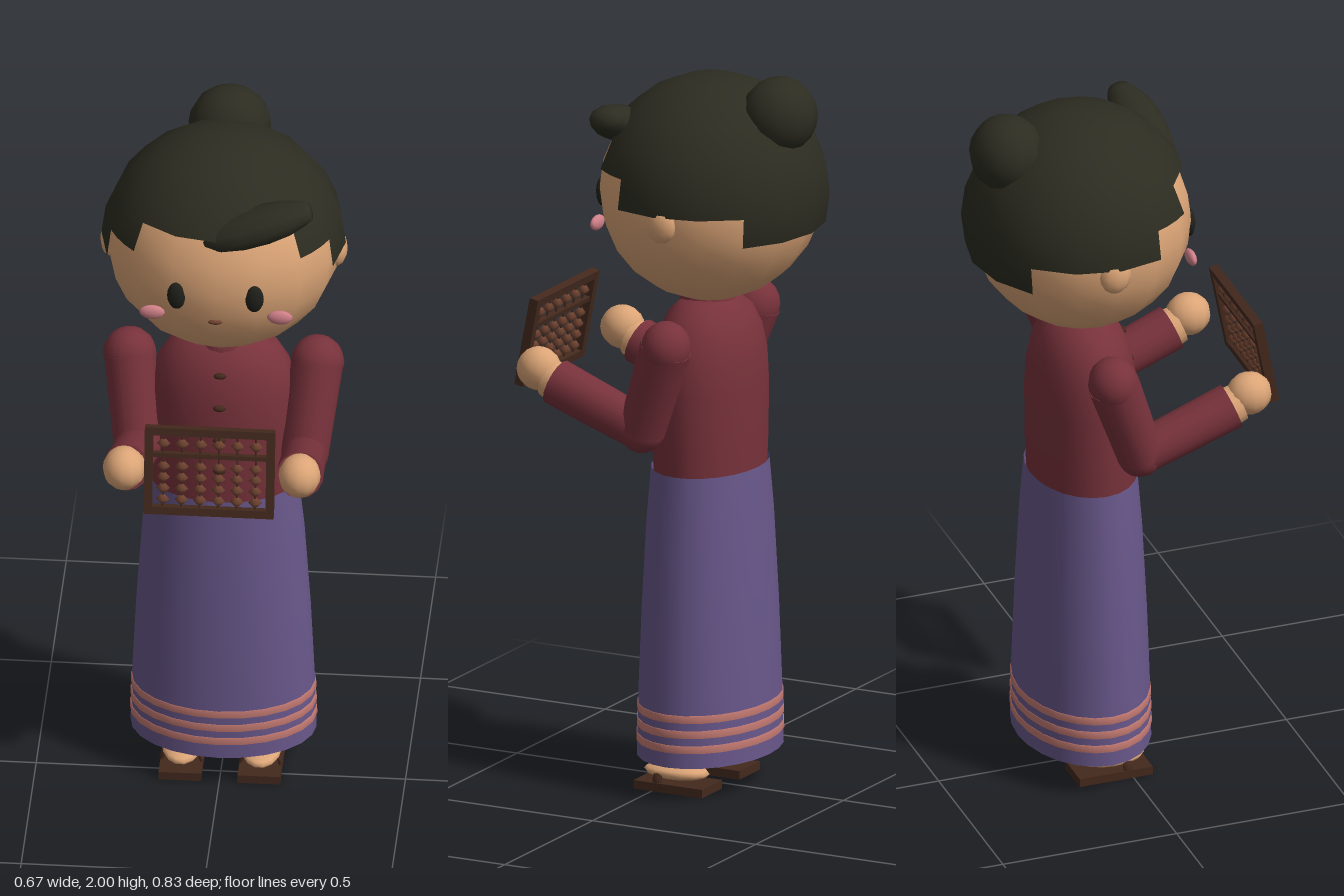
import * as THREE from 'three';

const mat = (name, color, side = THREE.FrontSide) => {
  const m = new THREE.MeshStandardMaterial({ color, side });
  m.name = name;
  return m;
};
const V = (x, y, z) => new THREE.Vector3(x, y, z);

export function createModel() {
  const skin = mat('skin', 0xdca577);
  const hair = mat('hair', 0x2c2c21, THREE.DoubleSide);
  const dark = mat('eye black', 0x20211b);
  const blush = mat('blush', 0xd08088);
  const shirt = mat('shirt red', 0x78323b, THREE.DoubleSide);
  const skirt = mat('skirt purple', 0x68578a, THREE.DoubleSide);
  const trim = mat('skirt trim', 0xc47a72, THREE.DoubleSide);
  const wood = mat('dark wood', 0x44291d);
  const bead = mat('bead wood', 0x6e4230);

  const model = new THREE.Group();
  const add = (name, geo, material, pos = [0, 0, 0], scale = [1, 1, 1], parent = model) => {
    const m = new THREE.Mesh(geo, material);
    m.name = name;
    m.position.set(...pos);
    m.scale.set(...scale);
    parent.add(m);
    return m;
  };
  const ball = (name, material, pos, radii, w = 12, h = 8, parent = model) =>
    add(name, new THREE.SphereGeometry(1, w, h), material, pos, radii, parent);
  const lathe = (points, segments = 24) =>
    new THREE.LatheGeometry(points.map(([r, y]) => new THREE.Vector2(r, y)), segments);
  // tapered cylinder running from a to b
  const limb = (name, a, b, ra, rb, material) => {
    const d = b.clone().sub(a);
    const m = add(name, new THREE.CylinderGeometry(rb, ra, d.length(), 14), material);
    m.position.copy(a).addScaledVector(d, 0.5);
    m.quaternion.setFromUnitVectors(V(0, 1, 0), d.normalize());
    return m;
  };
  const bodyZ = -0.092;

  // Skirt, open at the hem, with three trim bands
  const skirtProfile = [[0.252, 0.1], [0.247, 0.27], [0.236, 0.5], [0.219, 0.75], [0.203, 0.9]];
  add('skirt', lathe(skirtProfile), skirt, [0, 0, bodyZ], [1, 1, 0.72]);
  for (const y of [0.152, 0.194, 0.236]) {
    const r = 0.2555 - (y - 0.1) * 0.03;
    add('skirtBand', lathe([[r - 0.004, y - 0.011], [r, y - 0.01], [r - 0.0006, y + 0.01], [r - 0.005, y + 0.011]]),
      trim, [0, 0, bodyZ], [1, 1, 0.72]);
  }

  // Blouse, collar and buttons
  add('blouse', lathe([[0.196, 0.87], [0.202, 0.98], [0.203, 1.12], [0.198, 1.2], [0.18, 1.27],
    [0.147, 1.325], [0.1, 1.358], [0.05, 1.37]]), shirt, [0, 0, bodyZ], [1, 1, 0.71]);
  add('collar', new THREE.CylinderGeometry(0.072, 0.082, 0.05, 16), shirt, [0, 1.355, -0.085]);
  add('neck', new THREE.CylinderGeometry(0.06, 0.06, 0.14, 14), skin, [0, 1.39, -0.09]);
  [[1.0, 0.053], [1.1, 0.054], [1.2, 0.05], [1.29, 0.028]].forEach(([y, z]) =>
    ball('button', wood, [0, y, z], [0.018, 0.009, 0.01], 8, 6));

  // Head and face
  const headPos = [0, 1.66, -0.095];
  ball('head', skin, headPos, [0.318, 0.3, 0.3], 16, 12);
  for (const s of [-1, 1]) {
    ball('ear', skin, [s * 0.305, 1.635, -0.105], [0.03, 0.052, 0.045], 10, 8);
    ball('eye', dark, [s * 0.105, 1.645, 0.181], [0.026, 0.042, 0.016]);
    ball('cheek', blush, [s * 0.173, 1.575, 0.161], [0.035, 0.021, 0.013]);
  }
  ball('mouth', bead, [0, 1.571, 0.192], [0.02, 0.007, 0.007], 10, 6);

  // Hair cap in sectors, each cut at its own height: [start, length, depth] in degrees
  const cap = new THREE.Group();
  cap.name = 'hairCap';
  cap.position.set(...headPos);
  cap.scale.set(0.331, 0.322, 0.319);
  model.add(cap);
  const rad = THREE.MathUtils.degToRad;
  const sectors = [[45, 90, 60], [22.5, 22.5, 75], [135, 22.5, 75],
    [-45, 67.5, 90], [157.5, 67.5, 90], [225, 90, 105]];
  for (const [start, length, depth] of sectors) {
    add('hairSector', new THREE.SphereGeometry(1, length / 22.5, depth / 15, rad(start), rad(length), 0, rad(depth)),
      hair, [0, 0, 0], [1, 1, 1], cap);
  }
  ball('hairBun', hair, [0, 1.893, -0.303], [0.112, 0.107, 0.103], 12, 10);

  // Swept fringe with a blunt outer end
  const fringe = add('fringe', lathe([[0, -0.158], [0.022, -0.15], [0.042, -0.11], [0.052, -0.05],
    [0.054, 0.02], [0.048, 0.08], [0.034, 0.13], [0.024, 0.152], [0, 0.154]], 12), hair, [0.108, 1.842, 0.123], [0.95, 1, 1.25]);
  fringe.rotation.set(0, 0.1, -Math.PI / 2 + 0.32);

  // Arms bent forward, with hands
  for (const s of [-1, 1]) {
    const shoulder = V(s * 0.254, 1.275, -0.092);
    const elbow = V(s * 0.227, 1.03, -0.005);
    const wrist = V(s * 0.235, 1.132, 0.255);
    ball('shoulder', shirt, shoulder.toArray(), [0.073, 0.075, 0.068], 14, 10);
    limb('upperArm', shoulder, elbow, 0.071, 0.064, shirt);
    ball('elbow', shirt, elbow.toArray(), [0.064, 0.064, 0.064], 14, 10);
    limb('forearm', elbow, wrist, 0.06, 0.064, shirt);
    limb('wristCuff', wrist.clone().add(V(0, -0.004, -0.01)), wrist.clone().add(V(0, 0.008, 0.022)), 0.056, 0.052, skin);
    ball('hand', skin, [s * 0.238, 1.163, 0.305], [0.057, 0.06, 0.062], 12, 10);
  }

  // Legs, feet and sandals
  for (const s of [-1, 1]) {
    const x = s * 0.107;
    add('leg', new THREE.CylinderGeometry(0.05, 0.054, 0.3, 14), skin, [x, 0.235, -0.09]);
    ball('foot', skin, [x, 0.05, -0.047], [0.055, 0.022, 0.096], 14, 8);
    add('sandalSole', new THREE.BoxGeometry(0.115, 0.024, 0.21), wood, [x, 0.012, -0.05]);
    const strap = add('sandalStrap', new THREE.TorusGeometry(0.054, 0.007, 6, 14, Math.PI), wood,
      [x, 0.026, -0.015], [1, 0.85, 2]);
    strap.scale.y = 0.75;
  }

  // Counting frame, tilted so its top leans to the body
  const abacus = new THREE.Group();
  abacus.name = 'abacus';
  abacus.position.set(0, 1.21, 0.378);
  abacus.rotation.x = -0.19;
  model.add(abacus);
  const bar = (name, x, y, w, h, d) =>
    add(name, new THREE.BoxGeometry(w, h, d), wood, [x, y, 0], [1, 1, 1], abacus);
  for (const s of [-1, 1]) {
    bar('frameRail', 0, s * 0.115, 0.35, 0.022, 0.024);
    bar('frameSide', s * 0.165, 0, 0.022, 0.25, 0.026);
  }
  bar('frameDivider', 0, 0.046, 0.32, 0.012, 0.018);
  const beadShape = lathe([[0, -0.012], [0.007, -0.012], [0.019, 0], [0.007, 0.012], [0, 0.012]], 8);
  for (let i = 0; i < 6; i++) {
    const x = (i - 2.5) * 0.05;
    add('rod', new THREE.CylinderGeometry(0.003, 0.003, 0.23, 6), wood, [x, 0, 0], [1, 1, 1], abacus);
    for (const y of [0.078, 0.012, -0.02, -0.052, -0.084])
      add('bead', beadShape, bead, [x, y, 0], [1, 1, 0.8], abacus);
  }

  return model;
}
